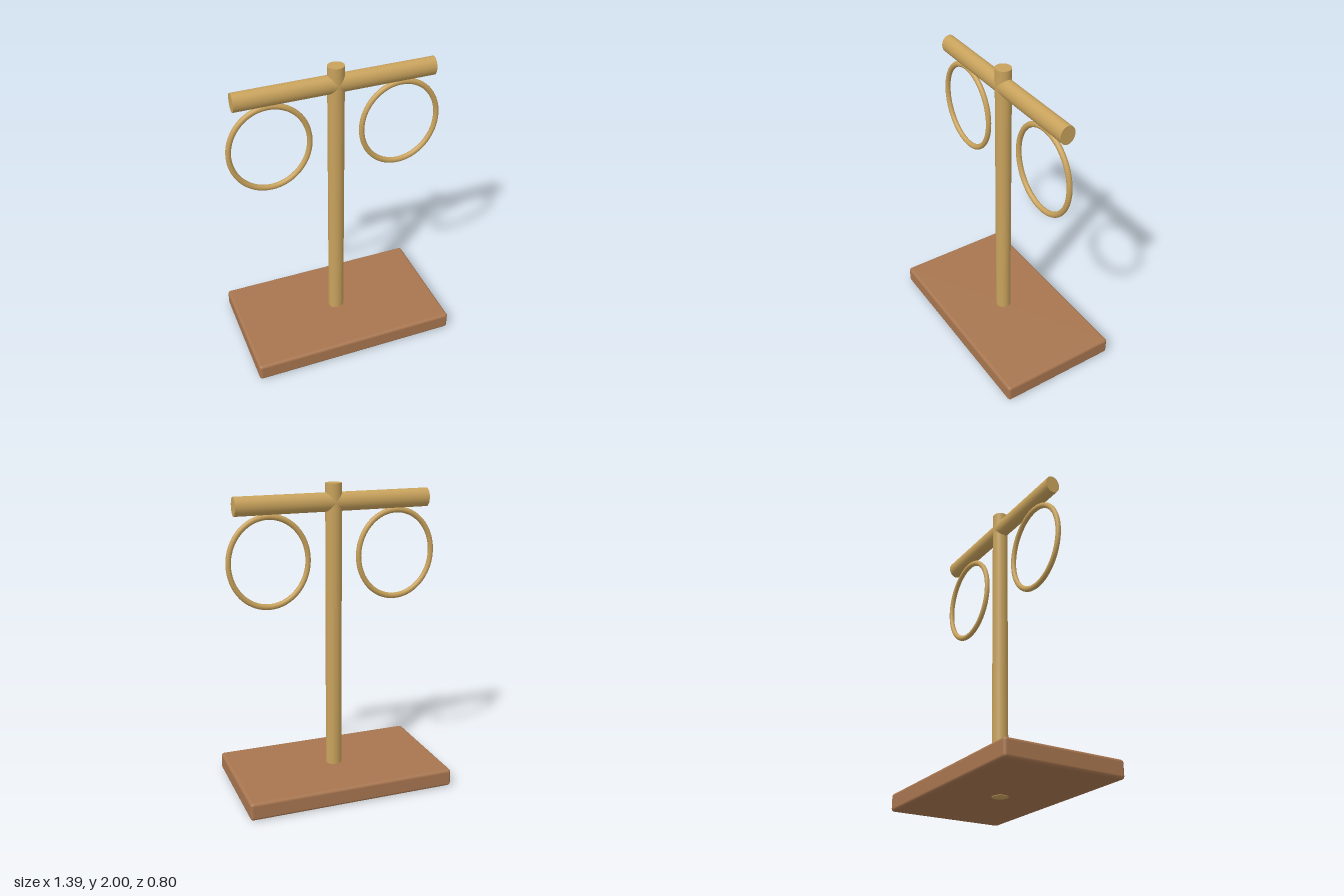
import * as THREE from 'three';
import { RoundedBoxGeometry } from 'three/addons/geometries/RoundedBoxGeometry.js';

export function createModel() {
  const model = new THREE.Group();
  model.name = 'ringStand';

  const paleWood = new THREE.MeshStandardMaterial({ color: 0xc8a25c });
  paleWood.name = 'paleWood';
  const brownWood = new THREE.MeshStandardMaterial({ color: 0xa87650 });
  brownWood.name = 'brownWood';

  const add = (name, geometry, material, x, y, z) => {
    const mesh = new THREE.Mesh(geometry, material);
    mesh.name = name;
    mesh.position.set(x, y, z);
    model.add(mesh);
    return mesh;
  };

  // Rounded slab; the post passes through and shows just under it
  add('base', new RoundedBoxGeometry(1.38, 0.117, 0.8, 4, 0.02), brownWood, 0, 0.0615, 0);

  // Upright post
  const post = new THREE.CylinderGeometry(0.0525, 0.0525, 2, 40);
  post.scale(1, 1, 0.95);
  add('post', post, paleWood, 0, 1, 0);

  // Crossbar, slightly taller than deep
  const bar = new THREE.CylinderGeometry(0.05, 0.05, 1.276, 40);
  bar.rotateZ(Math.PI / 2);
  bar.scale(1, 1.19, 1);
  add('crossbar', bar, paleWood, 0, 1.883, 0);

  // Oval rings hanging under each arm
  const ring = new THREE.TorusGeometry(0.255, 0.017, 16, 72);
  ring.scale(1, 1.107, 1);
  for (const [name, side] of [['leftRing', 1], ['rightRing', -1]]) {
    add(name, ring, paleWood, side * 0.425, 1.53, 0);
  }

  return model;
}
